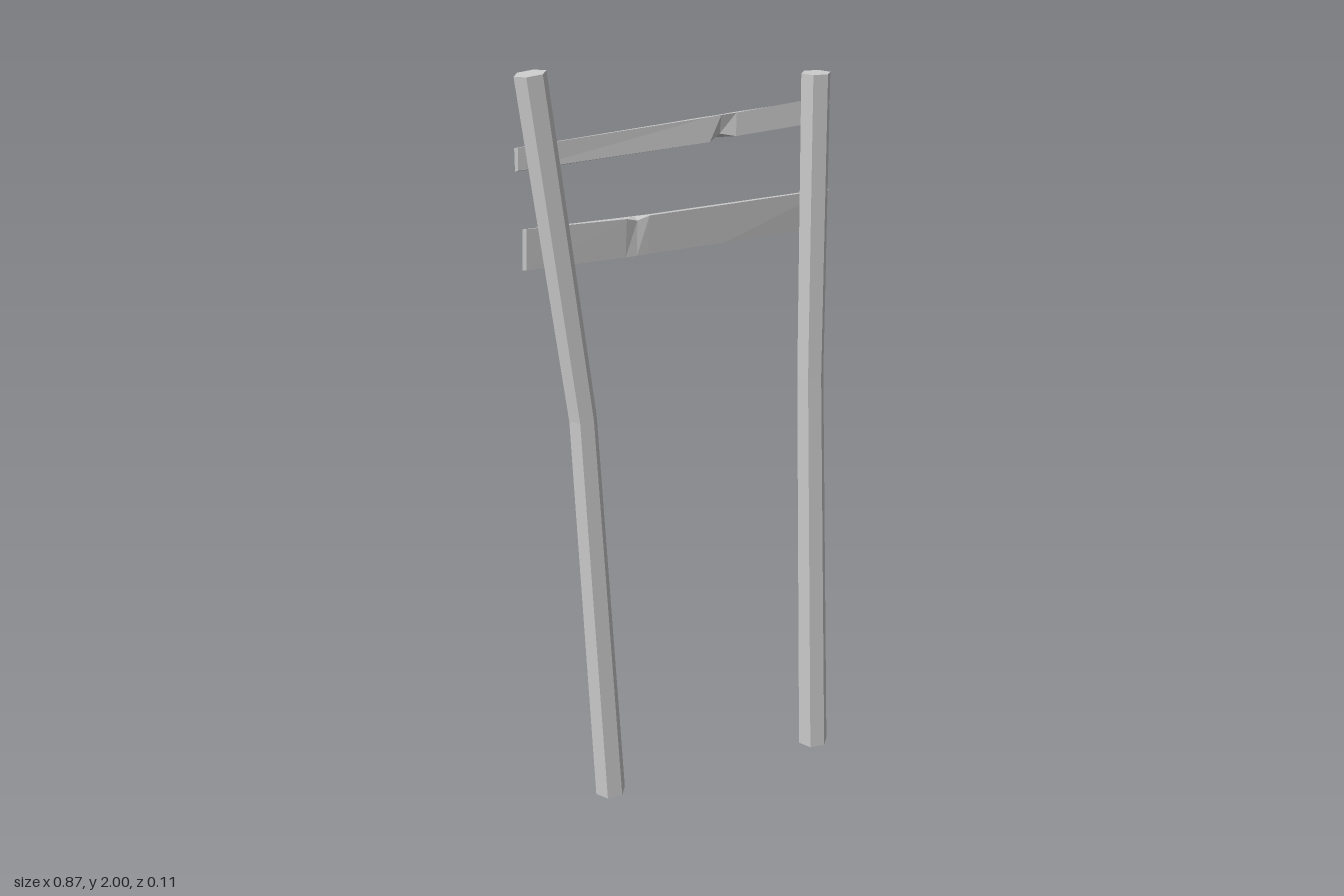
import * as THREE from 'three';

// Flat-shaded skin through rings of equal point count, capped at both ends
function loft(name, rings) {
  const pos = [];
  const tri = (a, b, c) => pos.push(...a, ...b, ...c);
  const n = rings[0].length;
  for (let s = 0; s < rings.length - 1; s++) {
    const a = rings[s], b = rings[s + 1];
    for (let i = 0; i < n; i++) {
      const j = (i + 1) % n;
      tri(a[i], b[i], b[j]);
      tri(a[i], b[j], a[j]);
    }
  }
  const first = rings[0], last = rings[rings.length - 1];
  for (let i = 1; i < n - 1; i++) {
    tri(first[0], first[i], first[i + 1]);
    tri(last[0], last[i + 1], last[i]);
  }
  const geo = new THREE.BufferGeometry();
  geo.setAttribute('position', new THREE.Float32BufferAttribute(pos, 3));
  geo.computeVertexNormals();
  const mesh = new THREE.Mesh(geo, new THREE.MeshStandardMaterial({ color: 0xcccccc, flatShading: true }));
  mesh.name = name;
  return mesh;
}

// Hexagonal post; stations are [x, y, z, radius, slope of the cut], turned about its axis
function post(name, stations, turn) {
  return loft(name, stations.map(([x, y, z, r, slope]) =>
    Array.from({ length: 6 }, (_, i) => {
      const a = turn + i * Math.PI / 3;
      const dx = r * Math.cos(a);
      return [x + dx, y + dx * slope, z + r * Math.sin(a)];
    })));
}

// Four-sided plank; stations are [x, then y, z of top front, top back, bottom back, bottom front]
function rail(name, stations) {
  return loft(name, stations.map(([x, ...c]) =>
    [0, 2, 4, 6].map((k) => [x, c[k], c[k + 1]])));
}

export function createModel() {
  const group = new THREE.Group();
  group.name = 'fenceFrame';

  // Bent post and straighter post
  group.add(post('bentPost', [
    [-0.222, 0.004, 0.01, 0.042, 0.06],
    [-0.281, 1.11, 0.01, 0.037, 0.1],
    [-0.396, 1.995, 0.01, 0.041, 0.12],
  ], 0));
  group.add(post('straightPost', [
    [0.393, 0.036, 0.017, 0.042, 0.04],
    [0.357, 1.15, 0.015, 0.037, 0.02],
    [0.351, 1.95, 0.016, 0.039, 0],
  ], 0.08));

  // Upper rail, with a small chip in its lower front edge
  group.add(rail('upperRail', [
    [-0.425, 1.815, -0.012, 1.808, -0.043, 1.75, -0.042, 1.758, -0.015],
    [0.07, 1.856, 0.002, 1.85, -0.033, 1.793, -0.035, 1.793, 0.002],
    [0.1, 1.859, 0.003, 1.852, -0.032, 1.796, -0.034, 1.81, -0.008],
    [0.14, 1.862, 0.004, 1.856, -0.031, 1.8, -0.033, 1.803, 0.004],
    [0.395, 1.888, 0.01, 1.876, -0.022, 1.825, -0.028, 1.825, 0.01],
  ]));

  // Lower rail, with a small chip in its upper front edge
  group.add(rail('lowerRail', [
    [-0.41, 1.613, -0.01, 1.605, -0.042, 1.497, -0.055, 1.505, -0.022],
    [-0.15, 1.615, -0.006, 1.612, -0.037, 1.51, -0.049, 1.513, -0.018],
    [-0.12, 1.607, -0.012, 1.613, -0.036, 1.512, -0.048, 1.515, -0.017],
    [-0.09, 1.619, -0.004, 1.614, -0.035, 1.514, -0.047, 1.517, -0.016],
    [0.12, 1.629, -0.002, 1.624, -0.033, 1.524, -0.045, 1.527, -0.014],
    [0.41, 1.643, -0.002, 1.637, -0.033, 1.535, -0.05, 1.54, -0.018],
  ]));

  return group;
}
